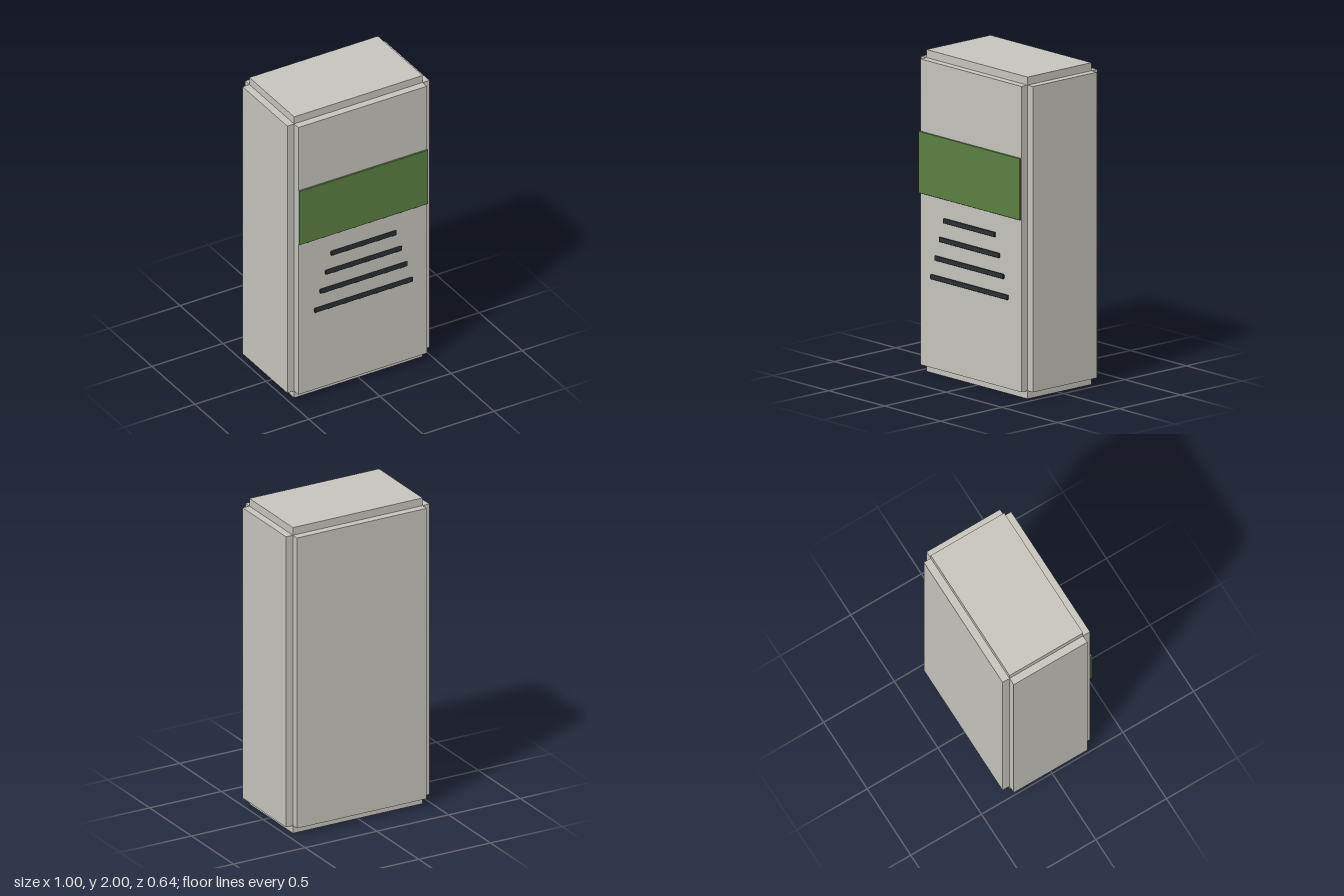
import * as THREE from 'three';
import { RoundedBoxGeometry } from 'three/addons/geometries/RoundedBoxGeometry.js';

export function createModel() {
  const group = new THREE.Group();
  const shell = new THREE.MeshStandardMaterial({ color: 0xc6c4bd });
  const green = new THREE.MeshStandardMaterial({ color: 0x5b7f41 });
  const dark = new THREE.MeshStandardMaterial({ color: 0x2c3033 });

  const add = (name, geometry, material, x, y, z) => {
    const mesh = new THREE.Mesh(geometry, material);
    mesh.name = name;
    mesh.position.set(x, y, z);
    group.add(mesh);
  };

  // Cabinet: three crossing blocks leave a stepped notch along every edge
  const cabinetZ = -0.012;
  add('sidePanels', new THREE.BoxGeometry(1, 1.9, 0.52), shell, 0, 1, cabinetZ);
  add('topAndBasePanels', new THREE.BoxGeometry(0.904, 2, 0.52), shell, 0, 1, cabinetZ);
  add('frontAndBackPanels', new THREE.BoxGeometry(0.904, 1.9, 0.618), shell, 0, 1, cabinetZ);

  // Coloured band with slightly eased edges
  add('frontBand', new RoundedBoxGeometry(0.908, 0.384, 0.014, 2, 0.004), green, 0, 1.312, 0.306);

  // Vent bars, widening downwards
  for (let i = 0; i < 4; i++) {
    const width = 0.46 + i * 0.077;
    add(`ventBar${i + 1}`, new RoundedBoxGeometry(width, 0.03, 0.015, 2, 0.005), dark,
      0, 0.989 - i * 0.123, 0.31);
  }
  return group;
}
